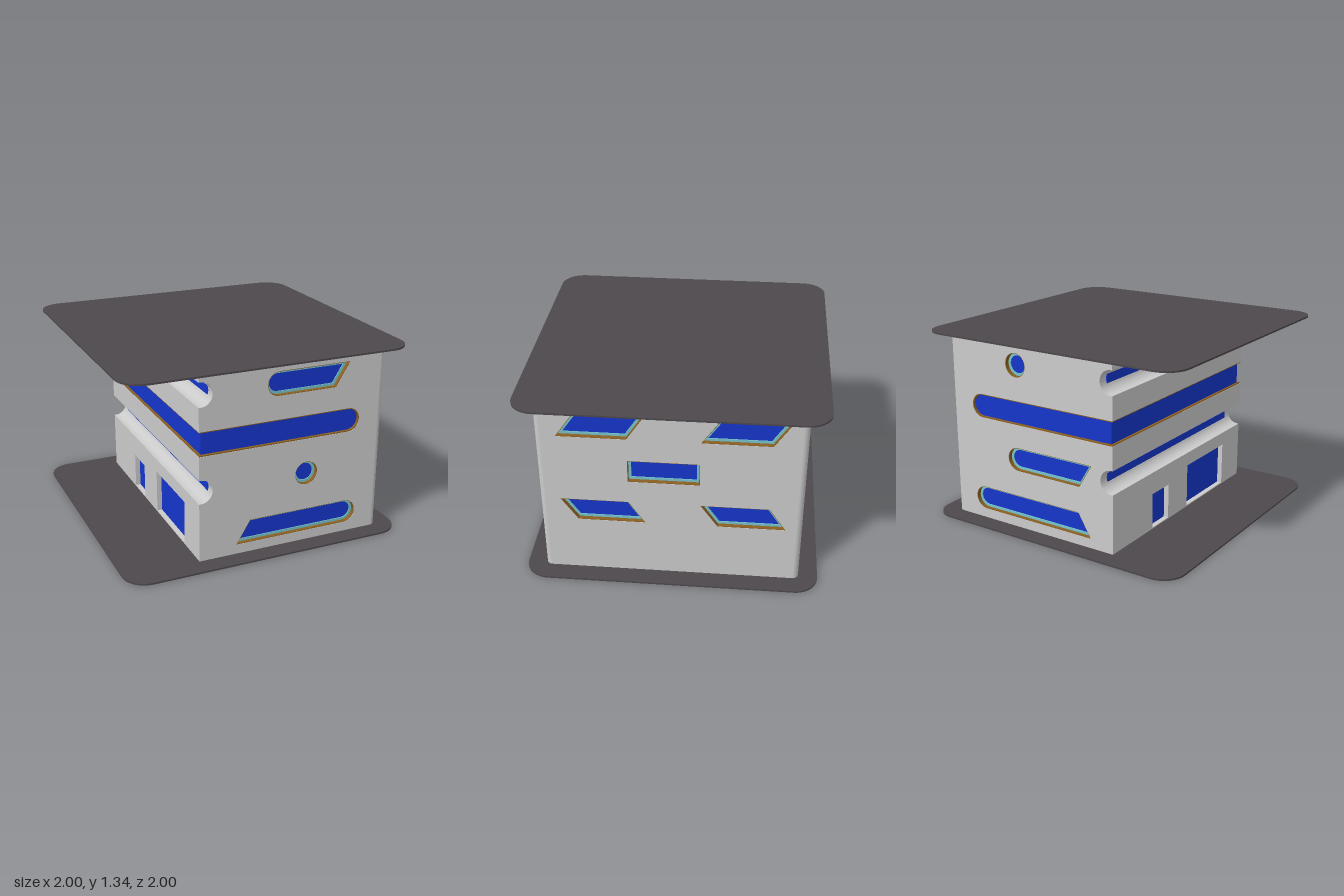
import * as THREE from 'three';

const D = 0.04;                 // wall thickness
const Y0 = 0.012, Y1 = 1.332;   // wall bottom and top
const XL = -0.475, XR = 0.87, ZH = 0.87;
const R = 0.083;                // half height of a window
const ROWS = [0.162, 0.51, 0.841, 1.172];

const mat = (color) => new THREE.MeshStandardMaterial({ color });
const grey = mat(0xcccccc), dark = mat(0x4d484c), blue = mat(0x1636cc);
const teal = mat(0x78c4cc), ochre = mat(0x8a5f20);

const arc = (cx, cy, r, a0, a1, n = 16) => Array.from({ length: n + 1 }, (_, i) => {
  const a = a0 + (a1 - a0) * i / n;
  return new THREE.Vector2(cx + r * Math.cos(a), cy + r * Math.sin(a));
});
const pts = (...list) => list.map(([x, y]) => new THREE.Vector2(x, y));
const ccw = (p) => (THREE.ShapeUtils.isClockWise(p) ? [...p].reverse() : p);
const flip = (p) => ccw(p.map((v) => new THREE.Vector2(-v.x, v.y)));

// shrinks a convex outline by t
function inset(p, t) {
  const q = ccw(p), n = q.length;
  return q.map((b, i) => {
    const e = b.clone().sub(q[(i + n - 1) % n]).normalize();
    const f = q[(i + 1) % n].clone().sub(b).normalize();
    const m = new THREE.Vector2(-e.y - f.y, e.x + f.x);
    return b.clone().addScaledVector(m, t / (1 + e.dot(f)));
  });
}

// outline with holes, extruded from z to z + depth
function slab(name, outline, holes, z, depth, material) {
  const shape = new THREE.Shape(ccw(outline));
  holes.forEach((h) => shape.holes.push(new THREE.Path(ccw(h))));
  const geo = new THREE.ExtrudeGeometry(shape, { depth, bevelEnabled: false });
  const mesh = new THREE.Mesh(geo.translate(0, 0, z), material);
  mesh.name = name;
  return mesh;
}

function box(name, x0, x1, y0, y1, z0, z1, material) {
  const mesh = new THREE.Mesh(new THREE.BoxGeometry(x1 - x0, y1 - y0, z1 - z0), material);
  mesh.position.set((x0 + x1) / 2, (y0 + y1) / 2, (z0 + z1) / 2);
  mesh.name = name;
  return mesh;
}

// window with one round end and one slanted end
function slantWindow(roundX, dir, topX, bottomX, y) {
  const a = arc(roundX - dir * R, y, R, Math.PI / 2, Math.PI / 2 - dir * Math.PI);
  return ccw([...a, ...pts([bottomX, y - R], [topX, y + R])]);
}
const roundWindow = (x, y) => arc(x, y, R, 0, Math.PI * 2, 32).slice(0, -1);
const quad = (topA, topB, botA, botB, y) =>
  ccw(pts([botA, y - R], [botB, y - R], [topB, y + R], [topA, y + R]));
const rect = (x0, x1, y0, y1) => pts([x0, y0], [x1, y0], [x1, y1], [x0, y1]);

// wall whose outer face is local z = 0, with recessed windows
function wall(name, outline, windows, framed) {
  const g = new THREE.Group();
  g.name = name;
  g.add(slab(name + 'Panel', outline, windows, -D, D, grey));
  windows.forEach((w) => {
    g.add(slab('glass', w, [], -D, 0.004, blue));
    if (!framed) return;
    g.add(slab('windowReveal', w, [inset(w, 0.004)], -D, D - 0.002, ochre));
    g.add(slab('windowFrame', w, [inset(w, 0.022)], -D, 0.01, teal));
  });
  return g;
}

const notch = (y) => [
  new THREE.Vector2(XL, y + R), ...arc(-0.463, y, R, Math.PI / 2, -Math.PI / 2),
  new THREE.Vector2(XL, y - R)];
const bandEnd = (r) => arc(0.605, ROWS[2], r, Math.PI / 2, -Math.PI / 2);

export function createModel() {
  const model = new THREE.Group();

  // floor and roof plates
  const c = 0.16, k = 1 - c, q = Math.PI / 2;
  const plate = [0, 1, 2, 3].flatMap((i) =>
    arc([k, -k, -k, k][i], [k, k, -k, -k][i], c, i * q, (i + 1) * q, 12));
  [['floorPlate', 0], ['roofPlate', Y1]].forEach(([name, y]) => {
    const p = slab(name, plate, [], 0, 0.012, dark);
    p.rotation.x = -Math.PI / 2;
    p.position.y = y;
    model.add(p);
  });

  // core with two grooves and the band recess along its open side
  const [, yA, yB, yC] = ROWS;
  const core = [
    ...pts([XL + D, Y0], [XR - D, Y0], [XR - D, Y1], [XL, Y1]),
    ...notch(yC),
    ...pts([XL, yB + 0.084], [-0.4, yB + 0.084], [-0.4, yB - 0.084], [XL, yB - 0.084]),
    ...notch(yA), ...pts([XL, 0.4], [XL + D, 0.4])];
  model.add(slab('core', core, [], -ZH + D, 2 * (ZH - D), grey));
  [yA, yC].forEach((y) =>
    model.add(box('grooveGlass', -0.386, -0.36, y - 0.035, y + 0.035, -0.8, 0.8, blue)));

  // front and back walls, cut by the grooves and the band
  const face = [
    ...pts([XL, Y0], [XR - D, Y0], [XR - D, Y1], [XL, Y1]),
    ...notch(yC),
    new THREE.Vector2(XL, yB + 0.084), ...bandEnd(0.084), new THREE.Vector2(XL, yB - 0.084),
    ...notch(yA)];
  const front = wall('frontWall', face, [
    slantWindow(0, -1, 0.6, 0.5, yC),
    roundWindow(0.3, yA),
    slantWindow(0.69, 1, -0.11, -0.21, ROWS[0])], true);
  front.position.z = ZH;
  const back = wall('backWall', flip(face), [
    roundWindow(0.3, yC),
    slantWindow(0.385, 1, -0.31, -0.21, yA),
    slantWindow(0.69, 1, -0.2, -0.3, ROWS[0])].map(flip), true);
  back.position.z = -ZH;
  back.rotation.y = Math.PI;
  model.add(front, back);

  // long glass band wrapping three sides, with its edging
  const band = [new THREE.Vector2(-0.455, yB + 0.076), ...bandEnd(0.076),
    new THREE.Vector2(-0.455, yB - 0.076)];
  model.add(slab('glassBand', band, [], -0.85, 1.7, blue));
  const edging = [
    new THREE.Vector2(XL + 0.003, yB + 0.084), ...bandEnd(0.084),
    new THREE.Vector2(XL + 0.003, yB - 0.084), new THREE.Vector2(XL + 0.003, yB - 0.077),
    ...bandEnd(0.077).reverse(), new THREE.Vector2(XL + 0.003, yB + 0.077)];
  model.add(slab('bandEdging', edging, [], -0.867, 1.734, ochre));

  // side wall with five windows (local x runs towards -z)
  const side = wall('sideWall', rect(-ZH + D, ZH - D, Y0, Y1), [
    quad(-0.62, -0.17, -0.735, -0.28, yC), quad(0.31, 0.76, 0.195, 0.65, yC),
    quad(-0.28, 0.19, -0.28, 0.19, yB),
    quad(-0.735, -0.28, -0.62, -0.17, yA), quad(0.195, 0.65, 0.31, 0.76, yA)], true);
  side.position.x = XR;
  side.rotation.y = Math.PI / 2;
  model.add(side);

  // rounded corners beside it
  [-1, 1].forEach((s) => {
    const post = new THREE.Mesh(new THREE.CylinderGeometry(D, D, Y1 - Y0, 32), grey);
    post.position.set(XR - D, (Y0 + Y1) / 2, s * (ZH - D));
    post.name = 'roundedCorner';
    model.add(post);
  });

  // entrance wall with door and large window
  const entrance = wall('entranceWall', rect(-ZH + D, ZH - D, Y0, 0.4), [
    rect(-0.39, -0.18, 0.02, 0.27), rect(0.08, 0.61, 0.02, 0.33)], false);
  entrance.position.x = XL;
  entrance.rotation.y = -Math.PI / 2;
  model.add(entrance);

  return model;
}
